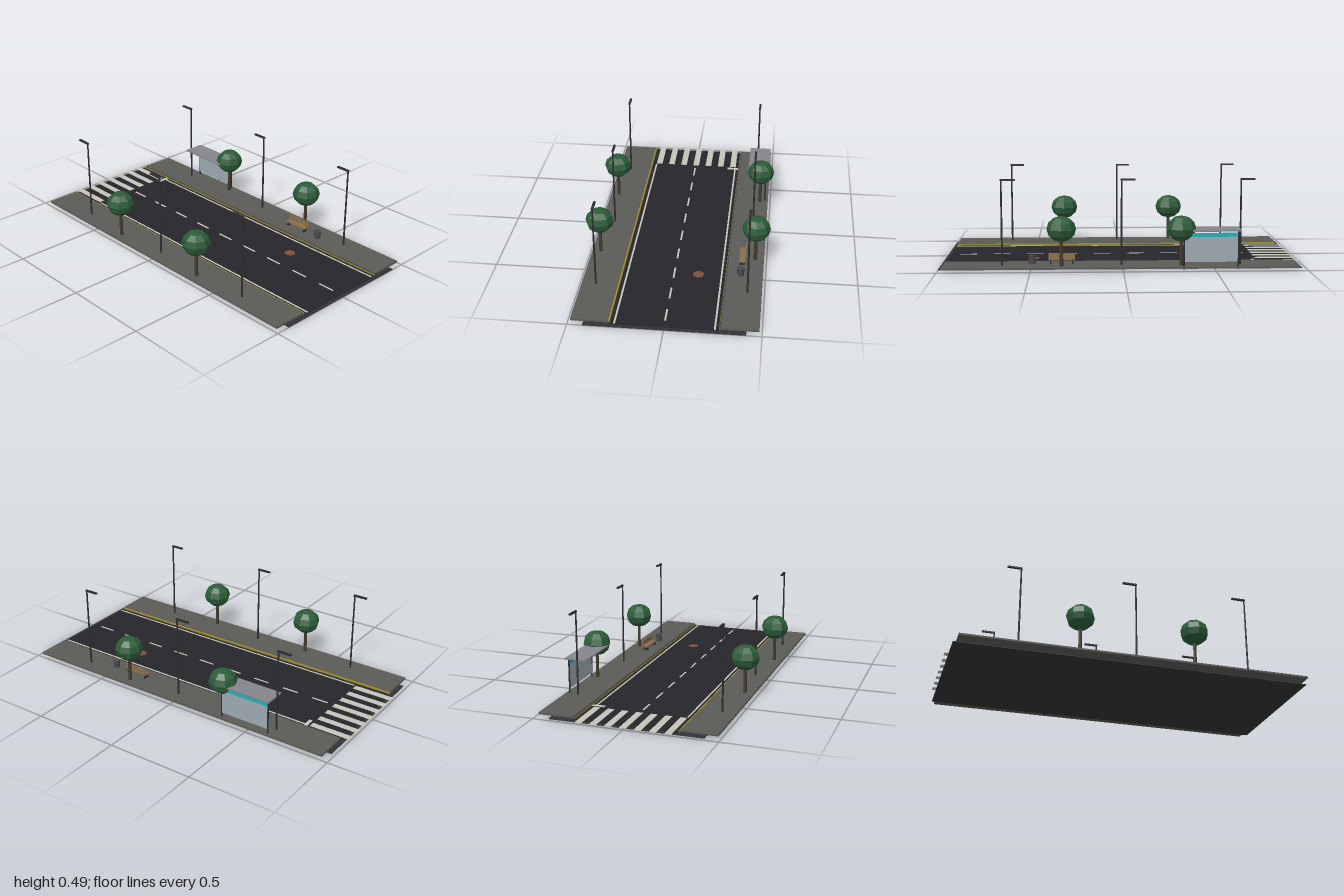
import * as THREE from 'three';

const mat = (color, extra = {}) => new THREE.MeshStandardMaterial({ color, ...extra });
const M = {
  base: mat(0x333335), road: mat(0x26262a), walk: mat(0x5a5a57), curb: mat(0x48484a),
  paint: mat(0xc4c4ba), yellow: mat(0x9a8a2c), metal: mat(0x2e2e32), trunk: mat(0x443a2e),
  leaf: mat(0x2c5c38, { flatShading: true }), glass: mat(0x9caab0), roof: mat(0x85868c),
  teal: mat(0x24aebb), wood: mat(0x8a6e4c), bin: mat(0x4a4a4e), rust: mat(0x7d5038),
};

// Box given by its minimum and maximum corners
function box(parent, name, material, [x0, y0, z0], [x1, y1, z1]) {
  const m = new THREE.Mesh(new THREE.BoxGeometry(x1 - x0, y1 - y0, z1 - z0), material);
  m.position.set((x0 + x1) / 2, (y0 + y1) / 2, (z0 + z1) / 2);
  m.name = name;
  parent.add(m);
  return m;
}

// Upright cylinder standing between two heights
function post(parent, name, material, x, z, y0, y1, rTop, rBottom = rTop, sides = 8) {
  const m = new THREE.Mesh(new THREE.CylinderGeometry(rTop, rBottom, y1 - y0, sides), material);
  m.position.set(x, (y0 + y1) / 2, z);
  m.name = name;
  parent.add(m);
  return m;
}

function group(parent, name) {
  const g = new THREE.Group();
  g.name = name;
  parent.add(g);
  return g;
}

function addRoad(parent) {
  const g = group(parent, 'road');
  box(g, 'base', M.base, [-0.98, 0, -0.42], [1, 0.004, 0.42]);
  box(g, 'asphalt', M.road, [-0.96, 0.003, -0.285], [0.98, 0.009, 0.285]);
  const y0 = 0.008, y1 = 0.0105;
  // Lane markings
  for (let i = 0; i < 9; i++) {
    const x = -0.72 + i * 0.194;
    box(g, 'laneDash', M.paint, [x, y0, -0.005], [x + 0.098, y1, 0.005]);
  }
  for (const z of [-0.26, 0.257]) {
    box(g, 'edgeLine', M.paint, [-0.75, y0, z - 0.005], [0.98, y1, z + 0.005]);
  }
  box(g, 'stopLine', M.paint, [-0.747, y0, -0.28], [-0.727, y1 + 0.001, -0.21]);
  // Crosswalk bars
  for (let i = -3; i <= 3; i++) {
    const z = i * 0.0805 - 0.003;
    box(g, 'crosswalkBar', M.paint, [-1, y0, z - 0.0185], [-0.76, y1, z + 0.0185]);
  }
  post(g, 'manholeCover', M.rust, 0.495, -0.133, 0.008, 0.011, 0.03, 0.03, 20);
}

function addPavement(parent, side) {
  const g = group(parent, side > 0 ? 'frontPavement' : 'backPavement');
  const span = (name, material, y0, y1, a, b) => box(g, name, material,
    [-0.96, y0, Math.min(a * side, b * side)], [0.98, y1, Math.max(a * side, b * side)]);
  span('sidewalk', M.walk, 0.012, 0.022, 0.29, 0.486);
  span('curb', M.curb, 0.005, 0.018, 0.283, 0.291);
  span('curbLine', M.yellow, 0.009, side > 0 ? 0.0185 : 0.016, 0.281, 0.29);
}

function addLamp(parent, x, z) {
  const g = group(parent, 'streetLamp');
  post(g, 'lampPole', M.metal, x, z, 0.004, 0.489, 0.0045, 0.0055);
  box(g, 'lampArm', M.metal, [x - 0.075, 0.484, z - 0.006], [x + 0.005, 0.493, z + 0.006]);
}

function addTree(parent, x, z) {
  const g = group(parent, 'tree');
  post(g, 'trunk', M.trunk, x, z, 0.005, 0.18, 0.009, 0.01);
  const crown = new THREE.Mesh(new THREE.SphereGeometry(0.08, 8, 6), M.leaf);
  crown.scale.y = 0.88;
  crown.position.set(x, 0.225, z);
  crown.name = 'crown';
  g.add(crown);
}

function addShelter(parent) {
  const g = group(parent, 'busShelter');
  box(g, 'shelterRoof', M.roof, [-0.635, 0.213, -0.485], [-0.315, 0.221, -0.36]);
  box(g, 'shelterGlass', M.glass, [-0.62, 0.046, -0.469], [-0.33, 0.183, -0.465]);
  box(g, 'shelterSign', M.teal, [-0.62, 0.183, -0.47], [-0.33, 0.204, -0.464]);
  for (const x of [-0.622, -0.328]) post(g, 'shelterPost', M.metal, x, -0.467, 0.005, 0.214, 0.0045);
}

function addBench(parent) {
  const g = group(parent, 'bench');
  box(g, 'benchSeat', M.wood, [0.26, 0.042, -0.386], [0.405, 0.05, -0.35]);
  box(g, 'benchBack', M.wood, [0.26, 0.054, -0.387], [0.405, 0.083, -0.381]);
  for (const x of [0.272, 0.393]) {
    box(g, 'benchLeg', M.metal, [x - 0.004, 0.02, -0.383], [x + 0.004, 0.042, -0.353]);
    box(g, 'backSupport', M.metal, [x - 0.003, 0.042, -0.386], [x + 0.003, 0.06, -0.382]);
  }
}

export function createModel() {
  const model = new THREE.Group();
  model.name = 'street';
  addRoad(model);
  for (const side of [1, -1]) {
    addPavement(model, side);
    for (const x of [-0.64, 0.007, 0.655]) addLamp(model, x, side * 0.409);
    for (const x of [-0.315, 0.333]) addTree(model, x, side * 0.437);
  }
  addShelter(model);
  addBench(model);
  post(model, 'litterBin', M.bin, 0.495, -0.364, 0.01, 0.067, 0.02, 0.018, 12);
  return model;
}
